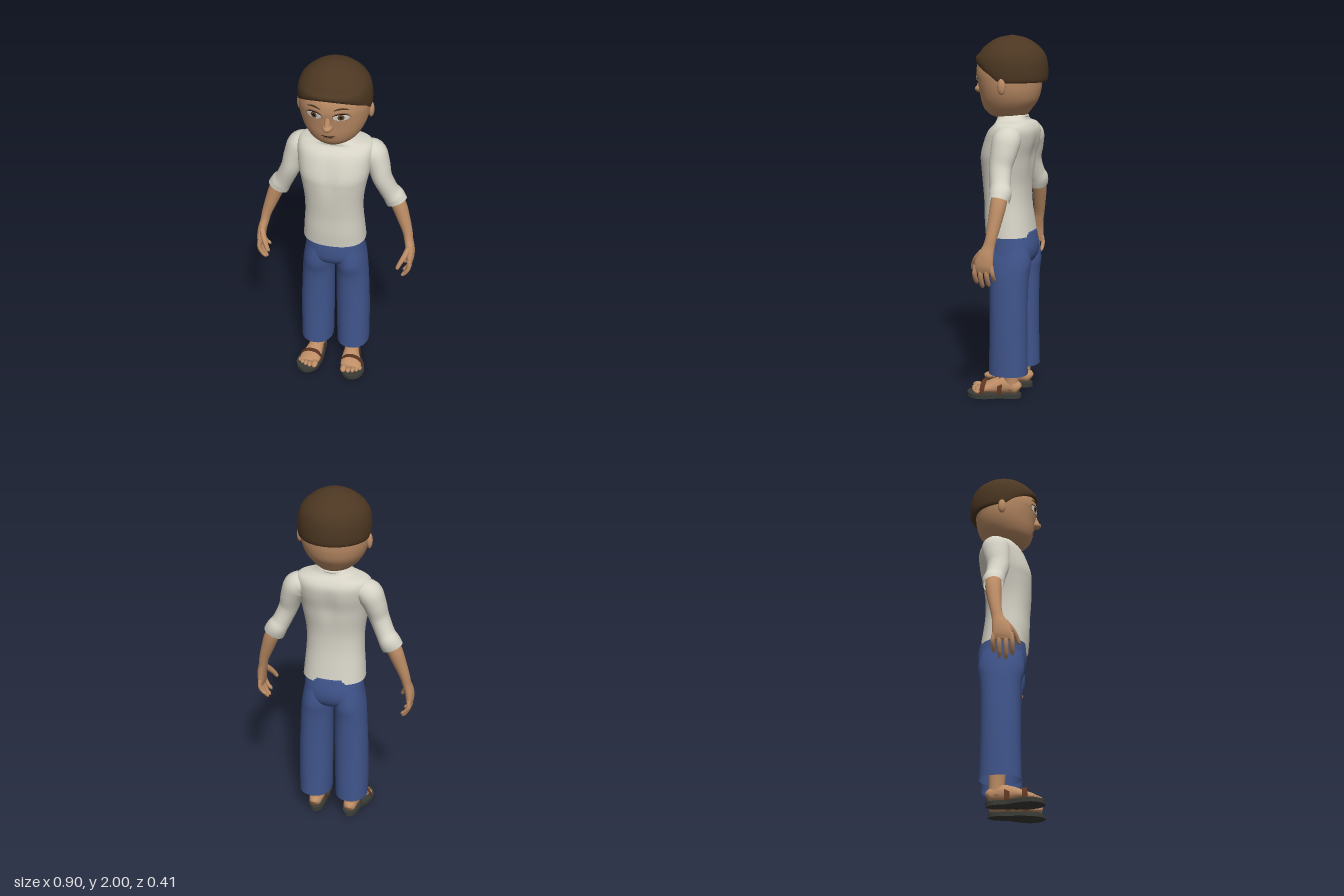
import * as THREE from 'three';

const mat = (name, color, side = THREE.FrontSide) => {
  const m = new THREE.MeshStandardMaterial({ color, side });
  m.name = name;
  return m;
};

// Catmull-Rom sampling of rows of numbers
function smooth(rows, sub = 5) {
  const out = [], n = rows.length - 1;
  for (let i = 0; i < n; i++) {
    const a = rows[Math.max(i - 1, 0)], b = rows[i], c = rows[i + 1], d = rows[Math.min(i + 2, n)];
    for (let k = 0; k < sub; k++) {
      const t = k / sub;
      out.push(b.map((_, j) => b[j] + 0.5 * t * (c[j] - a[j] + t * (2 * a[j] - 5 * b[j] + 4 * c[j] - d[j]
        + t * (3 * (b[j] - c[j]) + d[j] - a[j])))));
    }
  }
  out.push(rows[n]);
  return out;
}

// Skin over oval sections; each row is [x, y, z, radiusU, radiusV]
function loft(rows, { ref = [0, 0, 1], level = false, caps = true, seg = 28, power = 1, deform = null } = {}) {
  const R = smooth(rows), pos = [], idx = [], axis = new THREE.Vector3(...ref);
  const P = R.map(r => new THREE.Vector3(r[0], r[1], r[2]));
  const bend = v => Math.sign(v) * Math.abs(v) ** power;
  const last = R.length - 1;
  R.forEach((r, i) => {
    const t = level ? new THREE.Vector3(0, 1, 0)
      : P[Math.min(i + 1, last)].clone().sub(P[Math.max(i - 1, 0)]).normalize();
    const u = t.clone().cross(axis).normalize(), v = t.clone().cross(u);
    for (let j = 0; j < seg; j++) {
      const a = j / seg * Math.PI * 2;
      const p = P[i].clone().addScaledVector(u, r[3] * bend(Math.cos(a))).addScaledVector(v, r[4] * bend(Math.sin(a)));
      if (deform) deform(p);
      pos.push(p.x, p.y, p.z);
    }
  });
  for (let i = 0; i < last; i++) for (let j = 0; j < seg; j++) {
    const k = (j + 1) % seg, a = i * seg + j, b = i * seg + k;
    idx.push(a, b, b + seg, a, b + seg, a + seg);
  }
  if (caps) for (const i of [0, last]) {
    const c = pos.length / 3;
    pos.push(P[i].x, P[i].y, P[i].z);
    for (let j = 0; j < seg; j++) {
      const a = i * seg + j, b = i * seg + (j + 1) % seg;
      if (i) idx.push(a, b, c); else idx.push(b, a, c);
    }
  }
  const g = new THREE.BufferGeometry();
  g.setAttribute('position', new THREE.Float32BufferAttribute(pos, 3));
  g.setIndex(idx);
  g.computeVertexNormals();
  return g;
}

export function createModel() {
  const model = new THREE.Group();
  model.name = 'person';
  const skin = mat('skin', 0xbd8d66), shirt = mat('shirt', 0xd6d3c6, THREE.DoubleSide);
  const denim = mat('denim', 0x40558c, THREE.DoubleSide), hairMat = mat('hair', 0x4c3722);
  const soleMat = mat('sole', 0x3a3c36), strapMat = mat('strap', 0x5c3421, THREE.DoubleSide);
  const white = mat('eyeWhite', 0xdedcd6), iris = mat('iris', 0x70502f);
  const dark = mat('dark', 0x1c1510), lip = mat('lip', 0x8a5c42);
  const add = (name, geo, m, parent = model) => {
    const mesh = new THREE.Mesh(geo, m);
    mesh.name = name;
    parent.add(mesh);
    return mesh;
  };
  const ball = (x, y, z, a, b, c) => new THREE.SphereGeometry(1, 20, 14).scale(a, b, c).translate(x, y, z);

  // Head and neck
  const headRows = [[0, 1.56, 0.005, 0.06, 0.08], [0, 1.575, 0.01, 0.092, 0.105], [0, 1.605, 0.012, 0.128, 0.13],
    [0, 1.65, 0.004, 0.157, 0.154], [0, 1.7, 0, 0.176, 0.166], [0, 1.75, 0.001, 0.185, 0.174],
    [0, 1.8, 0.002, 0.187, 0.181], [0, 1.86, -0.005, 0.178, 0.178], [0, 1.92, -0.01, 0.14, 0.14], [0, 1.965, -0.01, 0.06, 0.06]];
  add('head', loft(headRows, { level: true, seg: 40 }), skin);
  add('neck', loft([[0, 1.5, -0.02, 0.07, 0.075], [0, 1.56, -0.018, 0.066, 0.072], [0, 1.62, -0.01, 0.066, 0.07]], { level: true }), skin);
  add('nose', ball(0, 1.708, 0.168, 0.027, 0.022, 0.038), skin);
  add('noseBridge', loft([[0, 1.78, 0.168, 0.01, 0.008], [0, 1.745, 0.172, 0.014, 0.014], [0, 1.71, 0.18, 0.018, 0.02]]
    .reverse(), { seg: 16 }), skin);

  // Painted face details, laid on the front of the head
  const headRings = smooth(headRows);
  const faceZ = (x, y) => {
    const i = Math.max(1, headRings.findIndex(r => r[1] >= y)), a = headRings[i - 1], b = headRings[i];
    const t = (y - a[1]) / (b[1] - a[1]), mix = k => a[k] + t * (b[k] - a[k]);
    return mix(2) + mix(4) * Math.sqrt(Math.max(0, 1 - (x / mix(3)) ** 2));
  };
  const decal = (name, x, y, rx, ry, m, lift, tilt = 0, arch = 0) => {
    const g = new THREE.RingGeometry(0.001, 1, 28, 4), p = g.attributes.position;
    for (let i = 0; i < p.count; i++) {
      const u = p.getX(i), px = x + u * rx, py = y + p.getY(i) * ry + u * tilt - u * u * arch;
      p.setXYZ(i, px, py, faceZ(px, py) + lift);
    }
    g.computeVertexNormals();
    add(name, g, m);
  };
  for (const s of [1, -1]) {
    const x = s * 0.07;
    decal('eyeRim', x, 1.778, 0.043, 0.025, lip, 0.002);
    decal('eyeWhite', x, 1.776, 0.04, 0.021, white, 0.004);
    decal('upperLid', x, 1.797, 0.04, 0.003, dark, 0.005, 0, 0.012);
    decal('iris', x, 1.777, 0.017, 0.018, iris, 0.006);
    decal('pupil', x, 1.777, 0.008, 0.009, dark, 0.008);
    decal('eyebrow', x, 1.826, 0.038, 0.005, hairMat, 0.004, s * 0.001, 0.01);
    add('ear', ball(s * 0.188, 1.733, -0.016, 0.016, 0.043, 0.022), skin);
  }
  decal('mouth', 0, 1.649, 0.037, 0.003, dark, 0.004, 0, -0.003);
  decal('lowerLip', 0, 1.641, 0.028, 0.006, lip, 0.003);

  // Hair cap: the edge rises over the forehead and stays level behind the ears
  const hairRows = [[1.755, 0.165], [1.757, 0.192], [1.83, 0.196], [1.9, 0.179], [1.95, 0.135], [1.985, 0.075], [2, 0.004]];
  add('hair', loft(hairRows.map(([y, r]) => [0, y, -0.01, r * 0.985, r]), {
    level: true, seg: 56, deform: p => {
      const edge = 1.755 + Math.max(0, p.z) * 0.6;
      if (p.y < 1.9) p.y = edge + (p.y - 1.755) / 0.145 * (1.9 - edge);
    },
  }), hairMat);

  // Shirt body with a shallow groove down the chest and back
  add('shirtBody', loft([[0, 0.915, -0.008, 0.175, 0.133], [0, 1, 0.002, 0.168, 0.13], [0, 1.1, 0.01, 0.16, 0.125],
    [0, 1.2, 0.015, 0.162, 0.128], [0, 1.3, 0.012, 0.178, 0.138], [0, 1.36, 0.008, 0.19, 0.142], [0, 1.43, -0.01, 0.2, 0.14],
    [0, 1.49, -0.025, 0.205, 0.128], [0, 1.528, -0.033, 0.188, 0.1], [0, 1.548, -0.02, 0.115, 0.086], [0, 1.575, -0.018, 0.074, 0.08]], {
    level: true, caps: false, seg: 48, power: 0.87, deform: p => {
      p.z *= 1 - 0.08 * Math.exp(-((p.x / 0.035) ** 2) - ((p.y - 1.37) / 0.1) ** 2);
    },
  }), shirt);
  add('collar', new THREE.TorusGeometry(0.073, 0.007, 8, 36).rotateX(Math.PI / 2).scale(1, 1, 1.08).translate(0, 1.568, -0.018), shirt);

  // Trouser seat
  add('trouserSeat', loft([[0, 0.735, -0.02, 0.05, 0.05], [0, 0.76, -0.02, 0.14, 0.1], [0, 0.8, -0.02, 0.168, 0.128],
    [0, 0.86, -0.02, 0.165, 0.135], [0, 0.94, -0.015, 0.155, 0.125]], { level: true, power: 0.9, seg: 36 }), denim);

  for (const s of [1, -1]) {
    const side = new THREE.Group();
    side.name = s > 0 ? 'leftLimbs' : 'rightLimbs';
    model.add(side);
    const limb = (name, rows, m, opt) => add(name, loft(rows.map(([x, ...r]) => [s * x, ...r]), opt), m, side);

    // Sleeve and arm
    limb('sleeve', [[0.14, 1.475, -0.05, 0.045, 0.06], [0.195, 1.455, -0.05, 0.07, 0.077], [0.228, 1.39, -0.043, 0.062, 0.072],
      [0.252, 1.31, -0.034, 0.054, 0.062], [0.29, 1.225, -0.047, 0.052, 0.056], [0.315, 1.185, -0.056, 0.058, 0.06],
      [0.333, 1.15, -0.055, 0.06, 0.054]], shirt, { caps: false });
    limb('forearm', [[0.305, 1.21, -0.055, 0.04, 0.042], [0.345, 1.13, -0.055, 0.042, 0.043], [0.375, 1.05, -0.048, 0.036, 0.037],
      [0.402, 0.97, -0.038, 0.028, 0.031], [0.413, 0.92, -0.028, 0.025, 0.032], [0.425, 0.87, -0.014, 0.025, 0.044],
      [0.43, 0.82, -0.004, 0.022, 0.052], [0.428, 0.785, -0.003, 0.014, 0.046]], skin);

    // Curled fingers and thumb
    [[-0.046, 0.73, 0.86], [-0.018, 0.7, 1], [0.012, 0.692, 1], [0.04, 0.712, 0.95]].forEach(([z, tip, k]) => {
      const d = 0.81 - tip, fz = z * 1.15;
      limb('finger', [[0.43, 0.82, z, 0.013 * k, 0.014 * k], [0.43, 0.81 - d * 0.35, fz, 0.013 * k, 0.0135 * k],
        [0.413, 0.81 - d * 0.72, fz, 0.012 * k, 0.0125 * k], [0.397, tip + 0.01, fz, 0.01 * k, 0.01 * k],
        [0.392, tip, fz, 0.002, 0.002]], skin, { seg: 12 });
    });
    limb('thumb', [[0.42, 0.89, 0.005, 0.015, 0.02], [0.405, 0.855, 0.04, 0.016, 0.018], [0.385, 0.82, 0.066, 0.013, 0.014],
      [0.371, 0.79, 0.079, 0.01, 0.011], [0.368, 0.782, 0.082, 0.002, 0.002]], skin, { seg: 12 });

    // Trouser leg, open at the hem
    limb('trouserLeg', [[0.085, 0.86, -0.02, 0.075, 0.118], [0.093, 0.76, -0.022, 0.086, 0.126], [0.099, 0.65, -0.026, 0.091, 0.109],
      [0.105, 0.4, -0.026, 0.096, 0.105], [0.108, 0.14, -0.026, 0.094, 0.11]], denim, { caps: false, power: 0.93 });

    // Ankle, foot and toes
    limb('ankle', [[0.106, 0.05, -0.043, 0.038, 0.042], [0.106, 0.13, -0.042, 0.037, 0.042], [0.106, 0.3, -0.035, 0.05, 0.055]], skin);
    limb('foot', [[0.105, 0.05, -0.093, 0.012, 0.018], [0.105, 0.056, -0.08, 0.033, 0.034], [0.105, 0.068, -0.03, 0.041, 0.048],
      [0.109, 0.062, 0.03, 0.045, 0.045], [0.118, 0.05, 0.09, 0.058, 0.032], [0.127, 0.043, 0.13, 0.06, 0.022],
      [0.128, 0.04, 0.15, 0.045, 0.014]], skin, { ref: [0, 1, 0] });
    [[0.088, 0.162, 0.019], [0.117, 0.165, 0.014], [0.142, 0.158, 0.013], [0.164, 0.147, 0.012], [0.182, 0.132, 0.011]].forEach(
      ([x, z, r]) => add('toe', ball(s * x, 0.023 + r, z, r, r, r * 1.6), skin, side));

    // Sandal sole and straps
    const outline = [[0.1, -0.1], [0.14, -0.07], [0.158, 0.01], [0.195, 0.08], [0.204, 0.14], [0.175, 0.19], [0.13, 0.205],
      [0.085, 0.18], [0.057, 0.1], [0.058, 0.01], [0.066, -0.07]].map(([x, z]) => new THREE.Vector3(s * x, z, 0));
    const curve = new THREE.CatmullRomCurve3(outline, true).getPoints(48).slice(0, -1);
    const shape = new THREE.Shape(curve.map(p => new THREE.Vector2(p.x, p.y)));
    add('sandalSole', new THREE.ExtrudeGeometry(shape, { depth: 0.023, bevelEnabled: false })
      .rotateX(Math.PI / 2).translate(0, 0.023, 0), soleMat, side);
    for (const [x, z, rx, h] of [[0.123, 0.102, 0.071, 0.074], [0.108, 0.01, 0.052, 0.092]])
      add('sandalStrap', new THREE.CylinderGeometry(1, 1, 0.028, 28, 1, true, Math.PI / 2, Math.PI)
        .rotateX(Math.PI / 2).scale(rx, h, 1).translate(s * x, 0.02, z), strapMat, side);
  }
  return model;
}
